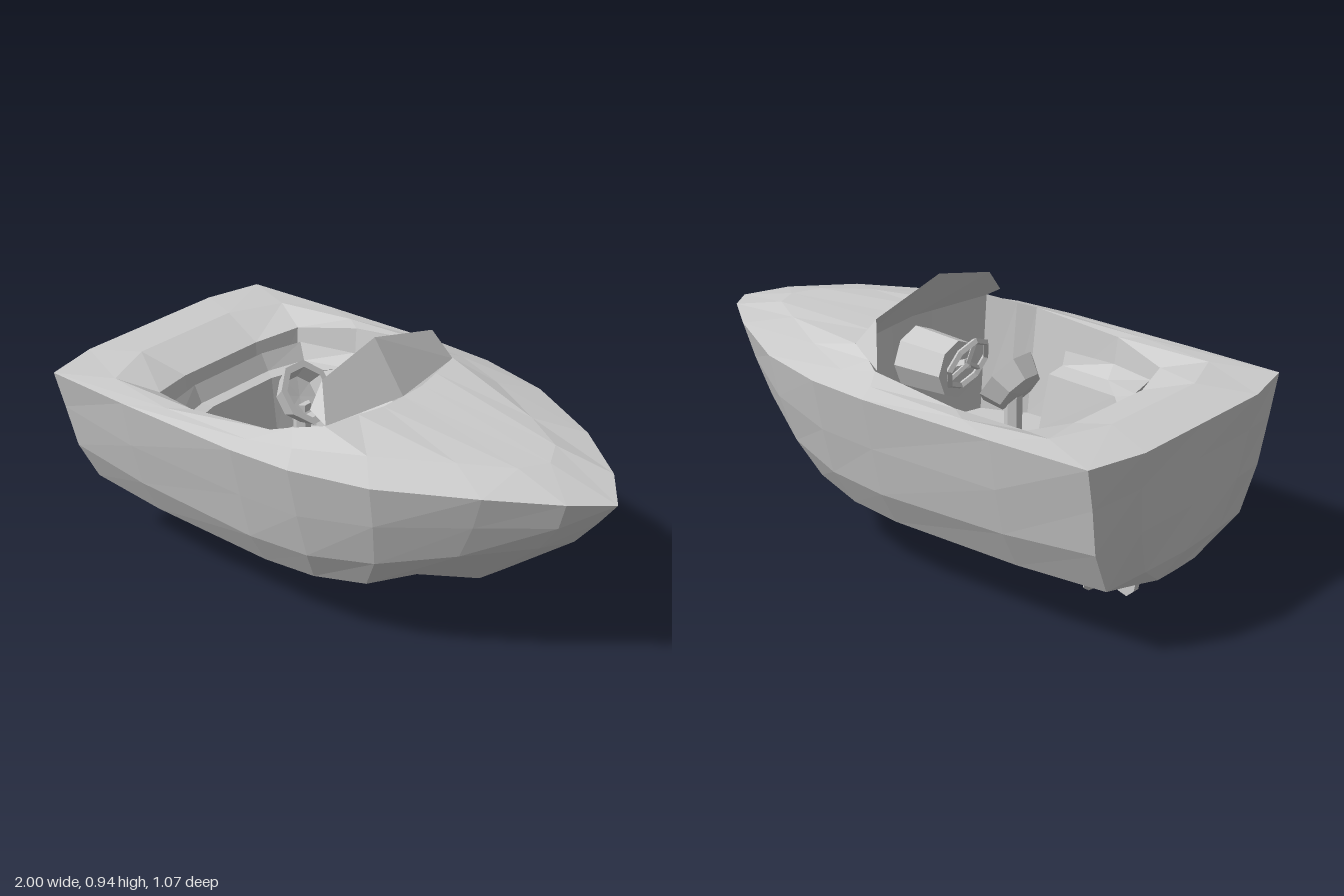
import * as THREE from 'three';

const grey = new THREE.MeshStandardMaterial({ color: 0xcccccc, flatShading: true });
const greyThin = new THREE.MeshStandardMaterial({ color: 0xcccccc, flatShading: true, side: THREE.DoubleSide });

// Faceted skin between successive rows of points, skipping collapsed triangles
function loft(rows) {
  const pos = [];
  const tri = (...p) => {
    const [a, b, c] = p.map(q => new THREE.Vector3(...q));
    if (b.clone().sub(a).cross(c.clone().sub(a)).length() > 1e-7) pos.push(...p.flat());
  };
  for (let k = 0; k < rows.length - 1; k++) {
    for (let i = 0; i < rows[k].length - 1; i++) {
      const a = rows[k][i], b = rows[k][i + 1], c = rows[k + 1][i], d = rows[k + 1][i + 1];
      tri(a, c, b);
      tri(b, c, d);
    }
  }
  const g = new THREE.BufferGeometry();
  g.setAttribute('position', new THREE.Float32BufferAttribute(pos, 3));
  g.computeVertexNormals();
  return g;
}

// Continue a half row with its mirror image on the other side
const mirror = half => half.slice().reverse().map(([x, y, z]) => [x, y, -z]);
const loop = half => [...half, ...mirror(half.slice(0, -1))];

function add(parent, name, geometry, material = grey) {
  const mesh = new THREE.Mesh(geometry, material);
  mesh.name = name;
  parent.add(mesh);
  return mesh;
}

// Rod between two points
function rod(parent, name, from, to, radius, sides = 6) {
  const a = new THREE.Vector3(...from), b = new THREE.Vector3(...to);
  const dir = b.clone().sub(a);
  const mesh = add(parent, name, new THREE.CylinderGeometry(radius, radius, dir.length(), sides));
  mesh.position.copy(a).add(b).multiplyScalar(0.5);
  mesh.quaternion.setFromUnitVectors(new THREE.Vector3(0, 1, 0), dir.normalize());
}

export function createModel() {
  const boat = new THREE.Group();
  boat.name = 'motorboat';

  // Hull outlines from sheer to keel, each running from stern to bow
  const sheer = [[-1, .7, 0], [-1, .7, .3], [-.95, .7, .51], [-.6, .7, .525], [-.1, .7, .535],
    [.13, .7, .52], [.4, .7, .45], [.7, .7, .285], [.9, .685, .13], [1, .665, 0]];
  const upper = [[-.99, .58, 0], [-.985, .58, .29], [-.945, .56, .475], [-.6, .53, .495], [-.1, .52, .495],
    [.13, .52, .48], [.39, .55, .42], [.66, .58, .27], [.87, .59, .12], [.935, .58, 0]];
  const topside = [[-.975, .42, 0], [-.97, .42, .26], [-.935, .4, .44], [-.6, .37, .455], [-.1, .35, .455],
    [.13, .355, .435], [.36, .385, .375], [.6, .45, .255], [.8, .49, .11], [.855, .485, 0]];
  const chine = [[-.96, .26, 0], [-.95, .26, .2], [-.925, .25, .365], [-.6, .238, .385], [-.1, .228, .385],
    [.1, .235, .37], [.29, .262, .33], [.44, .325, .26], [.57, .285, .1], [.59, .278, 0]];
  const bottom = [[-.93, .185, 0], [-.93, .187, .1], [-.92, .21, .21], [-.6, .204, .22], [-.1, .198, .22],
    [.07, .202, .21], [.25, .22, .18], [.42, .25, .12], [.56, .268, .05], [.59, .278, 0]];
  const keel = [[-.93, .185, 0], [-.93, .185, 0], [-.93, .185, 0], [-.6, .17, 0], [-.1, .165, 0],
    [.07, .168, 0], [.24, .18, 0], [.42, .225, 0], [.57, .267, 0], [.59, .278, 0]];
  add(boat, 'hull', loft([sheer, upper, topside, chine, bottom, keel].map(loop)));

  // Deck rises from the sheer, then dips at the stern to the cockpit rim
  const crown = [[-.82, .715, 0], [-.82, .715, .22], [-.74, .71, .42], [-.45, .71, .47], [-.08, .72, .475],
    [.08, .728, .44], [.3, .735, .34], [.54, .735, .2], [.7, .73, .1], [.75, .725, 0]];
  const rim = [[-.65, .66, 0], [-.65, .66, .18], [-.6, .675, .35], [-.38, .71, .42], [-.04, .742, .41],
    [.02, .755, .375], [.12, .775, .33], [.15, .775, .2], [.17, .772, .1], [.17, .77, 0]];
  add(boat, 'deck', loft([rim, crown, sheer].map(loop)));

  // Cockpit walls and floor
  const floorY = .36;
  const floor = rim.map(([x, , z]) => [x * .97, floorY, z * .9]);
  const floorCentre = floor.map(([x, y]) => [x, y, 0]);
  add(boat, 'cockpitLiner', loft([floorCentre, floor, rim].map(loop)), greyThin);

  // U-shaped bench with low backrest, seat and sloping front, closed at both ends
  const benchRows = [
    [[-.16, floorY, .37], [-.18, .62, .395], [-.38, .62, .4], [-.575, .63, .335], [-.615, .63, .17]],
    [[-.16, floorY, .37], [-.18, .57, .38], [-.38, .57, .37], [-.545, .57, .32], [-.585, .57, .17]],
    [[-.16, floorY, .28], [-.18, .56, .305], [-.47, .56, .285], [-.53, .56, .22], [-.55, .56, .15]],
    [[-.16, floorY, .28], [-.16, floorY, .28], [-.44, floorY, .265], [-.5, floorY, .205], [-.52, floorY, .14]],
  ];
  add(boat, 'bench', loft(benchRows.map(half => [...half, ...mirror(half)])), greyThin);

  // Driver seat: octagonal bucket tipped towards the bow on a pedestal
  const bucketProfile = [[0, -.05], [.085, -.04], [.115, .03], [.09, .03], [.07, -.015], [0, -.02]]
    .map(p => new THREE.Vector2(...p));
  const bucket = add(boat, 'seatBucket', new THREE.LatheGeometry(bucketProfile, 8, Math.PI / 8), greyThin);
  bucket.position.set(-.265, .64, 0);
  bucket.rotation.z = -.95;
  rod(boat, 'seatPedestal', [-.27, floorY, 0], [-.27, .61, 0], .03);

  // Steering console and wheel
  const dashPod = add(boat, 'console', new THREE.CylinderGeometry(.1, .11, .19, 8));
  dashPod.rotation.z = Math.PI / 2;
  dashPod.position.set(.06, .63, 0);
  const wheel = new THREE.Group();
  wheel.name = 'steeringWheel';
  wheel.position.set(-.075, .66, 0);
  wheel.rotation.set(-.35, Math.PI / 2, 0, 'YXZ');
  boat.add(wheel);
  add(wheel, 'wheelRim', new THREE.TorusGeometry(.092, .012, 4, 8));
  for (let i = 0; i < 3; i++) {
    const a = Math.PI / 2 + i * Math.PI * 2 / 3;
    rod(wheel, 'wheelSpoke', [0, 0, 0], [Math.cos(a) * .09, Math.sin(a) * .09, 0], .009, 4);
  }
  rod(boat, 'steeringColumn', [-.075, .66, 0], [0, .63, 0], .018);

  // Windscreen, raked back from a centre ridge, with a side wing to the right only
  add(boat, 'windscreen', loft([
    [[-.05, .745, -.41], [.05, .867, -.305], [.05, .945, 0], [.05, .888, .26], [.055, .81, .325]],
    [[-.05, .745, -.41], [.12, .773, -.33], [.17, .77, 0], [.12, .773, .325], [.12, .773, .325]],
  ]), greyThin);

  // Rudder
  const rudderShape = new THREE.Shape([[-.79, .1], [-.782, .06], [-.755, .035], [-.72, .045], [-.72, .18],
    [-.74, .18], [-.775, .15]].map(p => new THREE.Vector2(...p)));
  const rudder = new THREE.ExtrudeGeometry(rudderShape, { depth: .026, bevelEnabled: false });
  add(boat, 'rudder', rudder).position.z = -.013;

  // Propeller shaft, strut and propeller
  const hub = [-.625, .05, 0];
  rod(boat, 'propellerShaft', hub, [-.42, .19, 0], .01);
  rod(boat, 'shaftStrut', [-.575, .085, 0], [-.6, .18, 0], .01, 4);
  const propeller = new THREE.Group();
  propeller.name = 'propeller';
  propeller.position.set(...hub);
  propeller.rotation.z = .6;
  boat.add(propeller);
  rod(propeller, 'propellerHub', [-.025, 0, 0], [.02, 0, 0], .014);
  for (let i = 0; i < 3; i++) {
    const arm = new THREE.Group();
    arm.name = 'bladeArm';
    arm.rotation.x = 1.4 + i * Math.PI * 2 / 3;
    propeller.add(arm);
    const blade = add(arm, 'blade', new THREE.CylinderGeometry(.025, .025, .006, 6));
    blade.position.y = .03;
    blade.rotation.set(0, .6, Math.PI / 2);
  }
  return boat;
}
